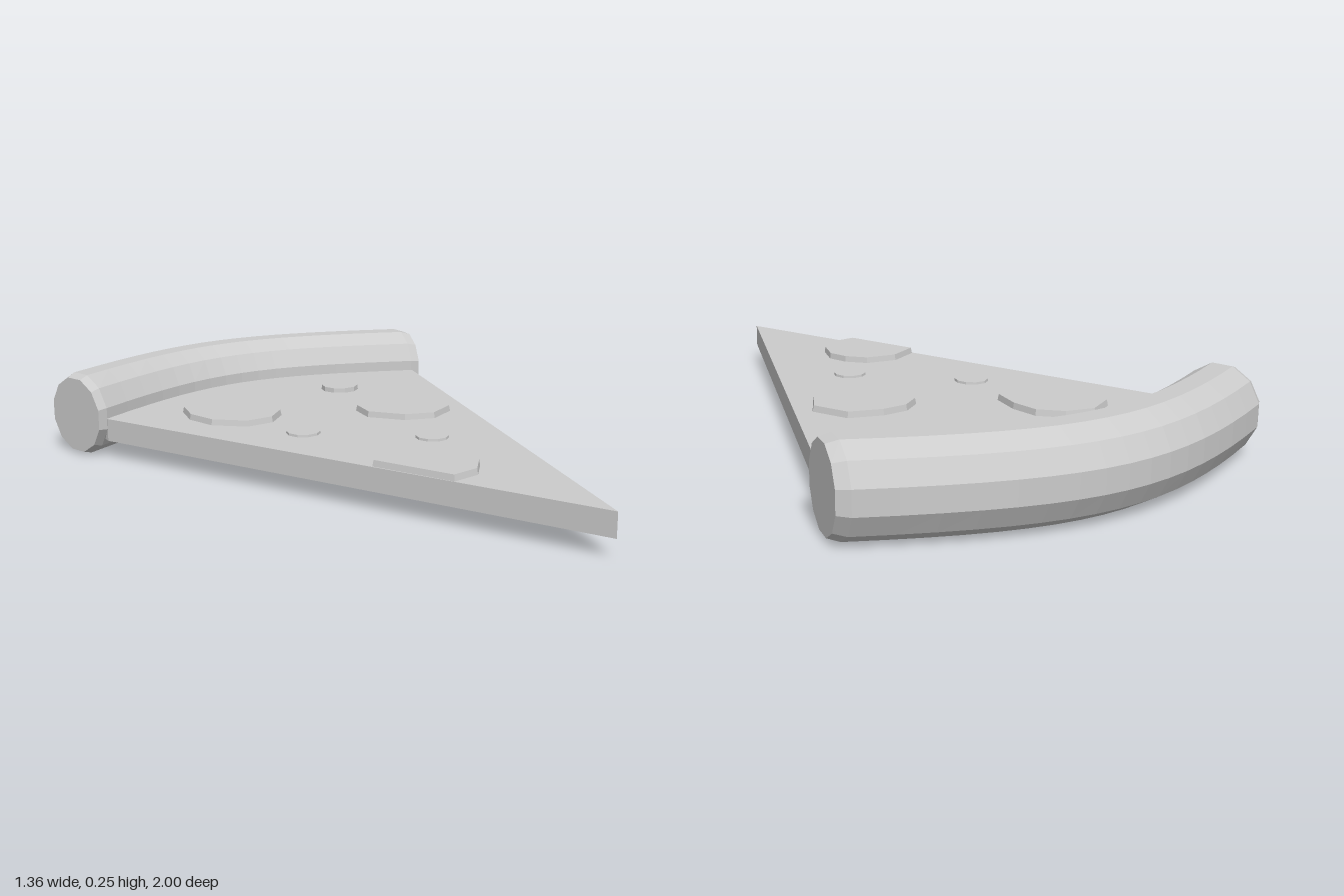
import * as THREE from 'three';

const material = new THREE.MeshStandardMaterial({ color: 0xcccccc, flatShading: true, side: THREE.DoubleSide });

function add(group, name, geometry) {
  const mesh = new THREE.Mesh(geometry, material);
  mesh.name = name;
  group.add(mesh);
}

// Flat plate from an outline of [x, z] points, standing between two heights
function plate(points, bottom, top) {
  const shape = new THREE.Shape(points.map(([x, z]) => new THREE.Vector2(x, -z)));
  const geometry = new THREE.ExtrudeGeometry(shape, { depth: top - bottom, bevelEnabled: false });
  return geometry.rotateX(-Math.PI / 2).translate(0, bottom, 0);
}

// Topping slice: a plate whose upper rim is drawn in a little
function slice(points, top) {
  const geometry = plate(points, 0.12, top);
  const cx = points.reduce((s, p) => s + p[0], 0) / points.length;
  const cz = points.reduce((s, p) => s + p[1], 0) / points.length;
  const pos = geometry.attributes.position;
  for (let i = 0; i < pos.count; i++) {
    if (pos.getY(i) < top - 0.005) continue;
    pos.setX(i, cx + (pos.getX(i) - cx) * 0.97);
    pos.setZ(i, cz + (pos.getZ(i) - cz) * 0.97);
  }
  geometry.computeVertexNormals();
  return geometry;
}

function ring(x, z, r, sides = 10) {
  return Array.from({ length: sides }, (_, i) => {
    const a = (i / sides) * Math.PI * 2;
    return [x + r * Math.cos(a), z + r * Math.sin(a)];
  });
}

// Centre line of the crust, bowed towards the back
const crustPath = new THREE.CubicBezierCurve3(
  new THREE.Vector3(-0.655, 0.125, -0.667), new THREE.Vector3(-0.1, 0.125, -0.944),
  new THREE.Vector3(0.1, 0.125, -0.944), new THREE.Vector3(0.655, 0.125, -0.667));

// Twelve-sided roll with bevelled, closed ends
function crustGeometry() {
  const sides = 12;
  const stations = [[0, 0], [0, 0.115]];
  const spans = 16;
  for (let i = 0; i <= spans; i++) stations.push([0.018 + (0.964 * i) / spans, 0.125]);
  stations.push([1, 0.115], [1, 0]);

  const vertices = [], index = [];
  for (const [t, r] of stations) {
    const c = crustPath.getPoint(t);
    const tilt = (c.x / 0.655) * 0.235;
    const round = r / Math.cos(Math.PI / sides);
    for (let j = 0; j < sides; j++) {
      const a = ((j + 0.5) / sides) * Math.PI * 2;
      const out = round * Math.cos(a) * 0.97;
      vertices.push(c.x + out * Math.sin(tilt), c.y + round * Math.sin(a), c.z - out * Math.cos(tilt));
    }
  }
  for (let i = 0; i < stations.length - 1; i++) {
    for (let j = 0; j < sides; j++) {
      const a = i * sides + j, b = i * sides + (j + 1) % sides;
      index.push(a, a + sides, b, b, a + sides, b + sides);
    }
  }
  const geometry = new THREE.BufferGeometry();
  geometry.setAttribute('position', new THREE.Float32BufferAttribute(vertices, 3));
  geometry.setIndex(index);
  const faceted = geometry.toNonIndexed();
  faceted.computeVertexNormals();
  return faceted;
}

export function createModel() {
  const group = new THREE.Group();
  group.name = 'pizzaSlice';

  // Wedge of dough, its back edge hidden inside the crust
  const wedge = [[0, 1], [0.6, -0.56]];
  for (let i = 0; i <= 12; i++) {
    const p = crustPath.getPoint(0.96 - (0.92 * i) / 12);
    wedge.push([p.x, p.z + 0.03]);
  }
  wedge.push([-0.6, -0.56]);
  add(group, 'base', plate(wedge, 0.055, 0.125));

  add(group, 'crust', crustGeometry());

  // Large irregular slices; the last is cut off at the side of the wedge
  const large = [
    [[-0.28, -0.55], [-0.19, -0.53], [-0.13, -0.47], [-0.12, -0.38], [-0.14, -0.28],
      [-0.21, -0.22], [-0.3, -0.22], [-0.38, -0.3], [-0.4, -0.4], [-0.37, -0.5]],
    [[0.22, -0.24], [0.32, -0.21], [0.37, -0.1], [0.32, -0.01], [0.22, 0.035],
      [0.13, 0], [0.06, -0.1], [0.08, -0.19], [0.14, -0.235]],
    [[-0.25, 0.34], [-0.15, 0.285], [-0.05, 0.3], [0, 0.355], [0.02, 0.42],
      [-0.01, 0.51], [-0.07, 0.57], [-0.16, 0.58]],
  ];
  large.forEach((points, i) => add(group, 'largeTopping' + (i + 1), slice(points, 0.143)));

  // Small round pieces
  const small = [[0.215, -0.47, 0.062, 0.14], [-0.205, -0.06, 0.052, 0.132], [0.07, 0.205, 0.05, 0.132]];
  small.forEach(([x, z, r, top], i) => add(group, 'smallTopping' + (i + 1), slice(ring(x, z, r), top)));

  return group;
}
